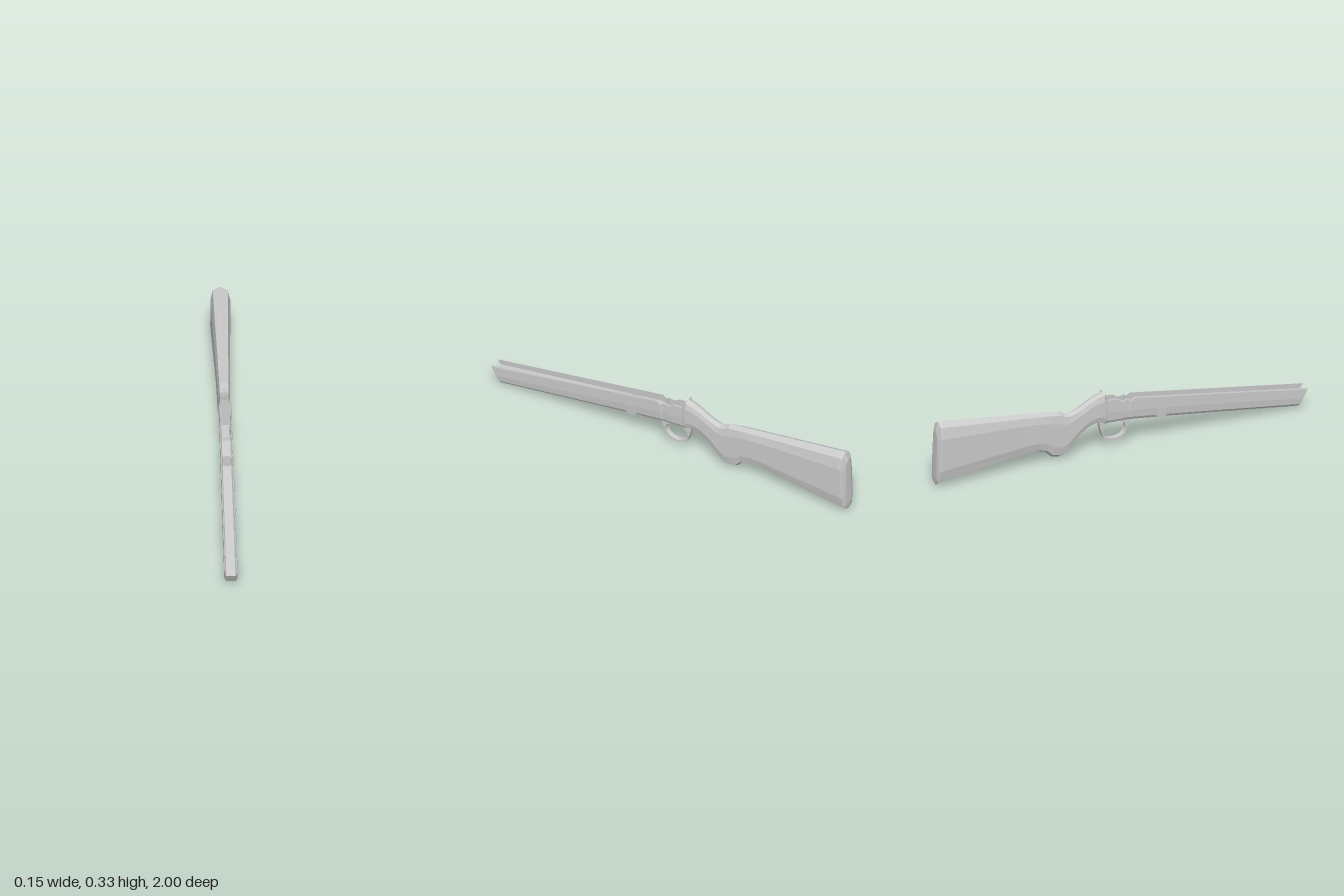
import * as THREE from 'three';

const material = new THREE.MeshStandardMaterial({ color: 0xcccccc, flatShading: true, side: THREE.DoubleSide });

// The whole stock is skewed slightly sideways along its length
function skew(geometry) {
  const p = geometry.attributes.position;
  for (let i = 0; i < p.count; i++) p.setX(i, p.getX(i) + 0.006 + 0.035 * p.getZ(i));
  geometry.computeVertexNormals();
  return geometry;
}

// Joins closed rings (counter-clockwise from the front, ordered front to back) and caps both ends
function loft(rings) {
  const n = rings[0].length, pos = [], index = [];
  rings.forEach(r => r.forEach(p => pos.push(...p)));
  for (let s = 0; s < rings.length - 1; s++) {
    for (let i = 0; i < n; i++) {
      const a = s * n + i, b = s * n + (i + 1) % n, d = a + n, c = b + n;
      index.push(a, d, b, b, d, c);
    }
  }
  const cap = (ring, base, sign) => {
    const flat = ring.map(p => new THREE.Vector2(p[0], p[1]));
    for (const [a, b, c] of THREE.ShapeUtils.triangulateShape(flat, [])) {
      const area = THREE.ShapeUtils.area([flat[a], flat[b], flat[c]]);
      if (area * sign > 0) index.push(base + a, base + b, base + c);
      else index.push(base + a, base + c, base + b);
    }
  };
  cap(rings[0], 0, 1);
  cap(rings[rings.length - 1], (rings.length - 1) * n, -1);
  const g = new THREE.BufferGeometry();
  g.setAttribute('position', new THREE.Float32BufferAttribute(pos, 3));
  g.setIndex(index);
  return skew(g.toNonIndexed());
}

// One side of the channelled forend; the inner edge opens by h around the screw hole
function channelRing([z, top, bot, w, floor], slant = 0) {
  const r = 0.035, dz = z - 0.215;
  const h = Math.min(0.026, Math.sqrt(Math.max(0, r * r - dz * dz)));
  const H = top - bot, inner = w - 0.003;
  return [
    [h, bot], [Math.max(0.6 * w, h + 0.001), bot], [Math.max(0.88 * w, h + 0.002), bot + 0.12 * H],
    [w, bot + 0.45 * H], [w, top - 0.006], [w - 0.002, top], [inner - 0.001, top],
    [inner, floor + 0.012], [Math.max(0.75 * inner, h), floor], [h, floor],
  ].map(([x, y]) => [x, y, z - slant * (1 - (y - bot) / H)]);
}

// Full ten-sided section of the grip and butt
function stockRing([z, top, bot, w, slant = 0]) {
  const H = top - bot;
  const half = [[0, bot], [0.76 * w, bot + 0.065 * H], [w, bot + 0.25 * H], [w, top - 0.24 * H], [0.76 * w, top - 0.065 * H], [0, top]];
  const left = half.slice(1, -1).reverse().map(([x, y]) => [-x, y]);
  return [...half, ...left].map(([x, y]) => [x, y, z - slant * (1 - (y - bot) / H)]);
}

export function createModel() {
  const model = new THREE.Group();
  model.name = 'rifleStock';
  const add = (name, geometry) => {
    const mesh = new THREE.Mesh(geometry, material);
    mesh.name = name;
    model.add(mesh);
  };

  // Straight forend, then the wavy-edged action recess
  const sections = [1, 0.3, 0.25, 0.245, 0.235, 0.215, 0.195, 0.185, 0.18, 0.08].map(z => {
    const top = 0.263 - 0.161 * z;
    return [z, top, 0.142 - 0.127 * z, 0.03 + 0.002 * z, top - 0.035 - 0.015 * (1 - z)];
  });
  sections.push(
    [0.065, 0.252, 0.134, 0.03, 0.2],
    [0.045, 0.238, 0.136, 0.03, 0.195],
    [0.035, 0.25, 0.137, 0.027, 0.195],
    [0.028, 0.25, 0.137, 0.027, 0.17],
    [0, 0.246, 0.137, 0.027, 0.17],
    [-0.03, 0.264, 0.138, 0.027, 0.17],
    [-0.078, 0.266, 0.14, 0.027, 0.17],
    [-0.085, 0.295, 0.14, 0.03, 0.17],
    [-0.092, 0.3, 0.14, 0.03, 0.17],
  );
  const leftRings = sections.map((s, i) => channelRing(s, i === 0 ? 0.05 : 0));
  const rightRings = leftRings.map(r => r.map(([x, y, z]) => [-x, y, z]).reverse());
  add('leftForend', loft(leftRings));
  add('rightForend', loft(rightRings));

  // Wrist, pistol grip and butt, ending in a bevelled butt plate
  add('buttStock', loft([
    [-0.09, 0.302, 0.137, 0.031],
    [-0.13, 0.29, 0.148, 0.03],
    [-0.17, 0.272, 0.137, 0.028],
    [-0.21, 0.25, 0.112, 0.027],
    [-0.25, 0.235, 0.075, 0.027],
    [-0.28, 0.229, 0.038, 0.027],
    [-0.305, 0.235, 0.018, 0.028],
    [-0.33, 0.25, 0.012, 0.029],
    [-0.37, 0.256, 0.02, 0.03],
    [-0.4, 0.259, 0.05, 0.031],
    [-0.45, 0.265, 0.066, 0.033],
    [-0.52, 0.274, 0.063, 0.034],
    [-0.968, 0.333, 0.006, 0.048, 0.02],
    [-0.978, 0.331, 0.002, 0.047, 0.014],
    [-0.985, 0.312, 0.02, 0.036, 0.012],
    [-0.993, 0.29, 0.045, 0.022, 0.006],
  ].map(stockRing)));

  // Trigger guard: flared loop, outlined from the side
  const guard = new THREE.Shape();
  guard.moveTo(0.06, 0.142);
  guard.splineThru([[0.038, 0.1], [0.015, 0.058], [-0.035, 0.043], [-0.085, 0.058], [-0.106, 0.1], [-0.118, 0.152]]
    .map(([z, y]) => new THREE.Vector2(z, y)));
  guard.closePath();
  const opening = new THREE.Path();
  opening.absellipse(-0.035, 0.096, 0.062, 0.045, 0, Math.PI * 2);
  guard.holes.push(opening);
  const guardGeometry = new THREE.ExtrudeGeometry(guard, { depth: 0.026, bevelEnabled: false, curveSegments: 10 });
  guardGeometry.translate(0, 0, -0.013).rotateY(-Math.PI / 2);
  add('triggerGuard', skew(guardGeometry));

  return model;
}
